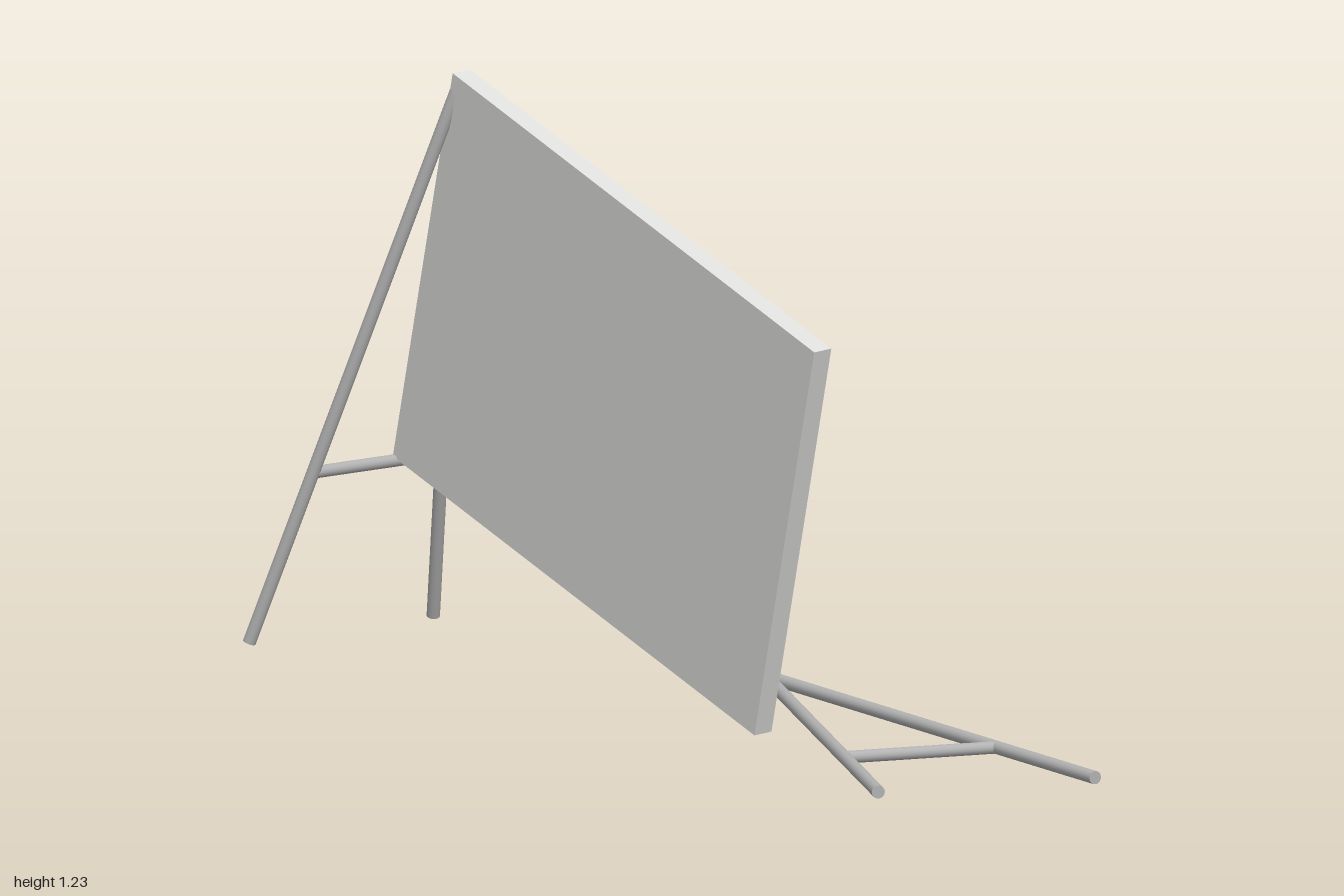
import * as THREE from 'three';

const V = (x, y, z) => new THREE.Vector3(x, y, z);

export function createModel() {
  const model = new THREE.Group();
  model.name = 'collapsedNoticeBoard';

  const mat = (name, color) => {
    const m = new THREE.MeshStandardMaterial({ color });
    m.name = name;
    return m;
  };
  const legGrey = mat('legGrey', 0xb2b2b2);
  const boardGrey = mat('boardGrey', 0xdededc);
  const gold = mat('gold', 0xe6b840);
  const tan = mat('tan', 0xdac890);

  const add = (parent, name, geo, material) => {
    const mesh = new THREE.Mesh(geo, material);
    mesh.name = name;
    parent.add(mesh);
    return mesh;
  };

  // Round bar between two points
  const bar = (parent, name, a, b, r) => {
    const dir = b.clone().sub(a);
    const mesh = add(parent, name, new THREE.CylinderGeometry(r, r, dir.length(), 16), legGrey);
    mesh.position.copy(a).add(b).multiplyScalar(0.5);
    mesh.quaternion.setFromUnitVectors(V(0, 1, 0), dir.normalize());
  };

  // A-shaped leg pair: two bars from an apex, joined by a crossbar
  const legPair = (name, apex, footA, footB) => {
    const group = new THREE.Group();
    group.name = name;
    bar(group, 'legA', apex, footA, 0.0132);
    bar(group, 'legB', apex, footB, 0.0132);
    bar(group, 'crossbar', apex.clone().lerp(footA, 0.7), apex.clone().lerp(footB, 0.7), 0.0125);
    model.add(group);
  };
  legPair('standingLegs', V(-0.597, 1.223, 0.127), V(-0.986, 0.055, 0.355), V(-0.986, 0.055, -0.105));
  legPair('fallenLegs', V(-0.245, 0.0145, -0.357), V(0.997, 0.0145, -0.211), V(0.853, 0.0145, 0.219));

  // Tilted board: local origin at its upper corner, x across, y up, z out of the plain face
  const W = 1.22, H = 0.863, PANEL = 0.03, RIM = 0.012, EDGE = 0.022;
  const u = V(0.949, -0.317, 0).normalize();
  const v = V(0.265, 0.813, 0.063);
  v.addScaledVector(u, -v.dot(u)).normalize();
  const board = new THREE.Group();
  board.name = 'board';
  board.quaternion.setFromRotationMatrix(new THREE.Matrix4().makeBasis(u, v, u.clone().cross(v)));
  board.position.set(-0.6, 1.23, 0.148);
  model.add(board);

  add(board, 'panel', new THREE.BoxGeometry(W, H, PANEL), boardGrey).position.set(W / 2, -H / 2, -PANEL / 2);

  // Raised rim around the back
  const rectangle = (Type, inset) => {
    const p = new Type();
    p.moveTo(inset, -inset);
    p.lineTo(inset, inset - H);
    p.lineTo(W - inset, inset - H);
    p.lineTo(W - inset, -inset);
    p.closePath();
    return p;
  };
  const outline = rectangle(THREE.Shape, 0);
  outline.holes.push(rectangle(THREE.Path, EDGE));
  const rimGeo = new THREE.ExtrudeGeometry(outline, { depth: RIM, bevelEnabled: false });
  add(board, 'rim', rimGeo, boardGrey).position.z = -PANEL - RIM;

  // Notes: [name, across, down, width, height, turn, material]
  const notes = [
    ['smallNote', 0.801, 0.335, 0.17, 0.133, -0.025, gold],
    ['smallNote', 0.624, 0.343, 0.17, 0.133, -0.015, gold],
    ['largeNote', 0.298, 0.628, 0.212, 0.26, -0.045, tan],
  ];
  for (const [name, s, t, w, h, turn, material] of notes) {
    const note = add(board, name, new THREE.BoxGeometry(w, h, 0.0095), material);
    note.position.set(s * W, -t * H, -PANEL - 0.0046);
    note.rotation.z = turn;
  }

  // Rounded pins
  for (const [s, t] of [[0.213, 0.297], [0.145, 0.323], [0.761, 0.65], [0.614, 0.805]]) {
    const pin = add(board, 'pin', new THREE.SphereGeometry(0.022, 20, 14), gold);
    pin.scale.z = 0.55;
    pin.position.set(s * W, -t * H, -PANEL - 0.008);
  }

  return model;
}
